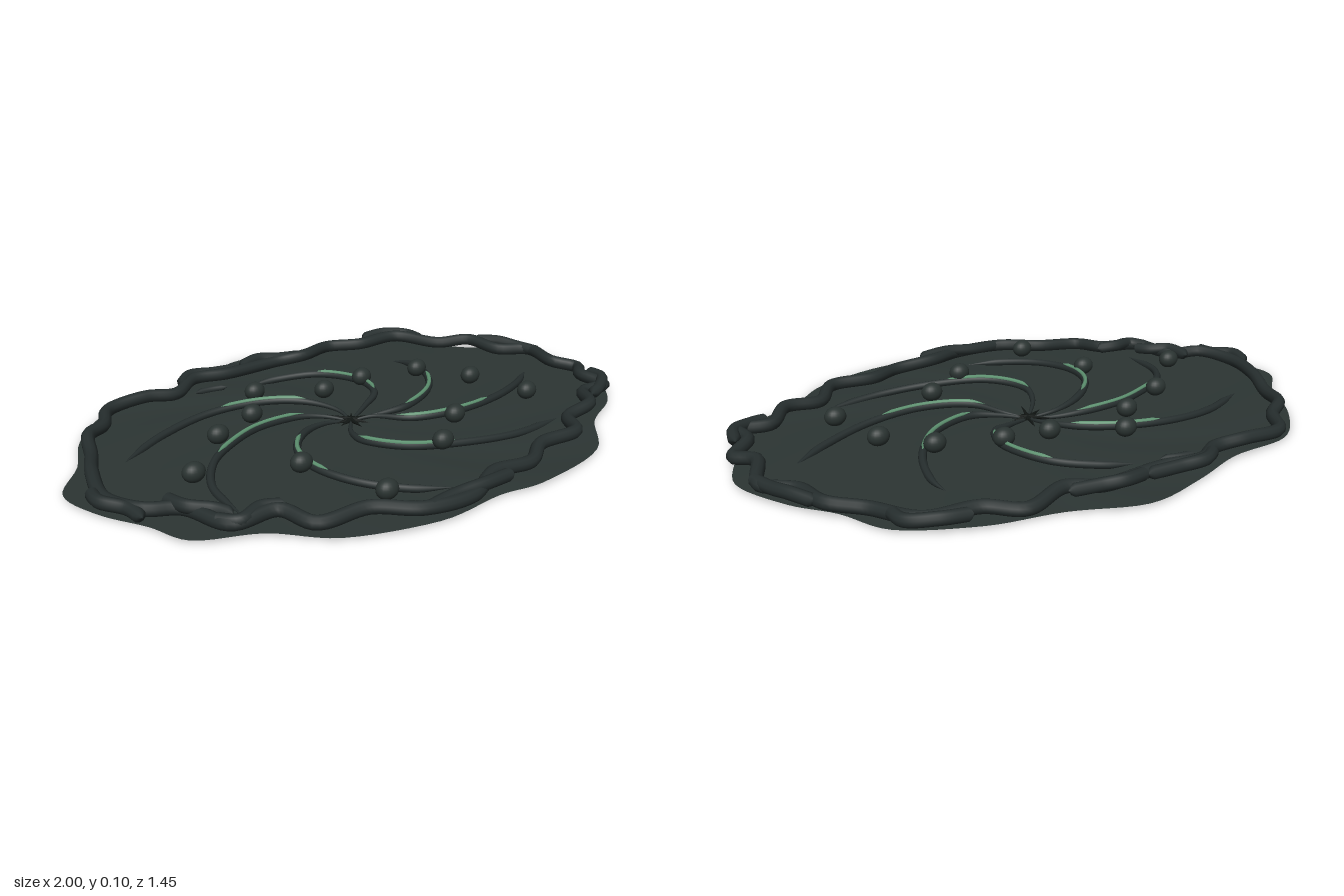
import * as THREE from 'three';

const mat = (name, color) => {
  const m = new THREE.MeshStandardMaterial({ color });
  m.name = name;
  return m;
};

// flat [x, z, x, z ...] list to points at a height given by a rule of 0..1
const path = (list, height) => {
  const n = list.length / 2, pts = [];
  for (let i = 0; i < n; i++) pts.push(new THREE.Vector3(list[2 * i], height(i / (n - 1)), list[2 * i + 1]));
  return pts;
};

// tube whose radius follows a rule along its length
const taperedTube = (curve, seg, radius, sides, rule) => {
  const g = new THREE.TubeGeometry(curve, seg, radius, sides, false);
  const p = g.attributes.position, v = new THREE.Vector3();
  for (let i = 0; i <= seg; i++) {
    const c = curve.getPointAt(i / seg), k = rule(i / seg);
    for (let j = 0; j <= sides; j++) {
      const n = i * (sides + 1) + j;
      v.fromBufferAttribute(p, n).sub(c).multiplyScalar(k).add(c);
      p.setXYZ(n, v.x, v.y, v.z);
    }
  }
  return g;
};

const OUTLINE = [-1, -.065, -.89, -.21, -.8, -.39, -.64, -.55, -.4, -.59, -.21, -.66, .015, -.725, .25, -.64,
  .49, -.61, .71, -.5, .8, -.34, .91, -.22, 1, -.02, .94, .19, .92, .3, .82, .41, .65, .5, .49, .65,
  .165, .72, .015, .695, -.235, .715, -.5, .62, -.65, .48, -.84, .39, -.89, .25, -.97, .09];

const ROPE = [-.93, .07, -.89, -.1, -.83, -.235, -.78, -.36, -.7, -.42, -.63, -.53, -.48, -.545, -.37, -.53,
  -.26, -.6, -.13, -.58, .09, -.59, .2, -.56, .35, -.61, .46, -.545, .63, -.53, .73, -.385, .83, -.315,
  .86, -.18, .95, -.1, .91, .06, .96, .14, .89, .22, .89, .33, .78, .33, .7, .43, .57, .45, .49, .556,
  .33, .556, .22, .62, .06, .62, -.075, .68, -.25, .66, -.37, .57, -.53, .54, -.58, .43, -.72, .41,
  -.78, .25, -.88, .2];

// short strands lying over the rope
const STRANDS = [
  [-.8, .18, -.78, .27, -.72, .32, -.69, .37],
  [-.33, -.57, -.26, -.62, -.17, -.61, -.06, -.6],
  [-.06, -.6, .03, -.62, .1, -.6, .2, -.58],
  [.5, -.58, .6, -.57, .68, -.52, .69, -.44],
  [.85, -.3, .9, -.22, .93, -.15, .96, -.05],
  [.93, .22, .91, .3, .84, .35, .78, .37],
  [.1, .66, -.02, .67, -.13, .66, -.25, .67],
  [-.55, .42, -.62, .4, -.7, .42, -.75, .36],
  [-.95, .02, -.96, .1, -.91, .17, -.9, .24],
];

// spiral ribs, each with the span of its bright vein
const RIBS = [
  { p: [0, 0, .0, -.07, -.06, -.18, -.18, -.26, -.37, -.295, -.56, -.26, -.76, -.16], vein: [.2, .53] },
  { p: [0, 0, .1, -.05, .18, -.1, .21, -.21, .14, -.37, .01, -.45, -.11, -.48], vein: [.27, .67] },
  { p: [0, 0, .09, .04, .19, .06, .35, -.01, .46, -.155, .495, -.3, .48, -.37], vein: [.24, .7] },
  { p: [0, 0, .06, .04, .14, .15, .3, .2, .49, .18, .67, .11, .81, .02], vein: [.17, .58] },
  { p: [0, 0, -.08, .11, -.1, .2, -.02, .325, .14, .395, .35, .43, .58, .405], vein: [.2, .54] },
  { p: [0, 0, -.1, -.01, -.21, .03, -.315, .14, -.34, .27, -.29, .41, -.18, .52, -.06, .58], vein: [.27, .6] },
  { p: [0, 0, -.07, -.06, -.155, -.09, -.315, -.085, -.45, -.03, -.555, .04, -.635, .165, -.65, .35], vein: [.17, .62] },
];

const BEADS = [-.176, -.32, -.283, -.17, -.47, -.075, -.674, .128, -.374, .246, -.278, .535, .064, .39,
  .235, .257, .594, .235, .535, .01, .412, -.144, .203, -.203, .037, -.203];

// thin rippled sheet built from rings
function discGeometry() {
  const N = 156, R = 24, pos = [], idx = [];
  const edge = new THREE.CatmullRomCurve3(path(OUTLINE, () => 0), true);
  for (let r = 0; r <= R; r++) for (let i = 0; i <= N; i++) {
    const e = edge.getPoint((i % N) / N), k = r / R, a = Math.atan2(e.z, e.x);
    pos.push(e.x * k, .017 + .003 * k * Math.sin(a * 9 + k * 9), e.z * k);
  }
  for (let r = 0; r < R; r++) for (let i = 0; i < N; i++) {
    const a = r * (N + 1) + i, b = a + N + 1;
    if (r > 0) idx.push(a, a + 1, b);
    idx.push(a + 1, b + 1, b);
  }
  for (let i = 0; i < idx.length; i += 3) [idx[i + 1], idx[i + 2]] = [idx[i + 2], idx[i + 1]];
  const g = new THREE.BufferGeometry();
  g.setAttribute('position', new THREE.Float32BufferAttribute(pos, 3));
  g.setIndex(idx);
  g.computeVertexNormals();
  // keep the top side of the sheet facing up
  if (g.attributes.normal.getY(R * (N + 1)) < 0) {
    for (let i = 0; i < idx.length; i += 3) [idx[i + 1], idx[i + 2]] = [idx[i + 2], idx[i + 1]];
    g.setIndex(idx);
    g.computeVertexNormals();
  }
  return g;
}

export function createModel() {
  const group = new THREE.Group();
  const leaf = mat('dark leaf', 0x2c3533);
  leaf.side = THREE.DoubleSide;
  const bark = mat('dark vine', 0x262e2e);
  const bead = mat('bead slate', 0x2a3331);
  const green = mat('vein green', 0x5f9472);
  const black = mat('centre black', 0x121715);
  const add = (name, geo, m, parent = group) => {
    const mesh = new THREE.Mesh(geo, m);
    mesh.name = name;
    parent.add(mesh);
    return mesh;
  };

  add('disc', discGeometry(), leaf);

  // wavy rim rope with overlapping strands
  const rim = new THREE.CatmullRomCurve3(path(ROPE, t => .042 + .006 * Math.sin(t * 90)), true);
  add('rimRope', new THREE.TubeGeometry(rim, 320, .022, 10, true), bark);
  for (const s of STRANDS) {
    const c = new THREE.CatmullRomCurve3(path(s, t => .048 + .006 * Math.sin(t * 5)));
    add('rimStrand', taperedTube(c, 30, .021, 10, t => Math.sqrt(Math.max(0, Math.min(1, t * 16, (1 - t) * 16)))), bark);
  }

  // spiral ribs with a bright vein along the crest
  const height = t => .016 + .03 * Math.sin(Math.PI * Math.min(1, t * 1.05));
  for (const { p, vein } of RIBS) {
    const c = new THREE.CatmullRomCurve3(path(p, height));
    add('spiralRib', taperedTube(c, 60, .013, 8, t => Math.min(1, .3 + t * 3, (1 - t) * 9)), bark);
    const pts = [];
    for (let i = 0; i <= 16; i++) {
      const q = c.getPointAt(vein[0] + (vein[1] - vein[0]) * i / 16);
      pts.push(q.setY(q.y + .011));
    }
    add('ribVein', taperedTube(new THREE.CatmullRomCurve3(pts), 40, .0075, 6,
      t => Math.min(1, t * 8, (1 - t) * 8)), green);
  }
  const scrap = new THREE.CatmullRomCurve3(path([-.3, -.52, -.24, -.515, -.18, -.5], () => .025));
  add('loneRib', taperedTube(scrap, 16, .012, 8, t => Math.min(1, t * 6, (1 - t) * 6)), bark);

  // beads
  for (let i = 0; i < BEADS.length; i += 2) {
    const b = add('bead', new THREE.SphereGeometry(1, 20, 14), bead);
    b.scale.set(.037, .032, .03);
    b.position.set(BEADS[i], .066 + .007 * Math.sin(i * 2.3), BEADS[i + 1]);
  }

  // radiating spikes at the centre
  const star = new THREE.Group();
  star.name = 'centreStar';
  for (let i = 0; i < 14; i++) {
    const len = .065 + .025 * Math.sin(i * 2.7);
    const g = new THREE.ConeGeometry(.009, len, 6).translate(0, len / 2, 0)
      .rotateZ(-Math.PI / 2 + .12 * Math.sin(i * 4)).rotateY(i * Math.PI / 7);
    add('spike', g.translate(0, .021, 0), black, star);
  }
  group.add(star);
  return group;
}
